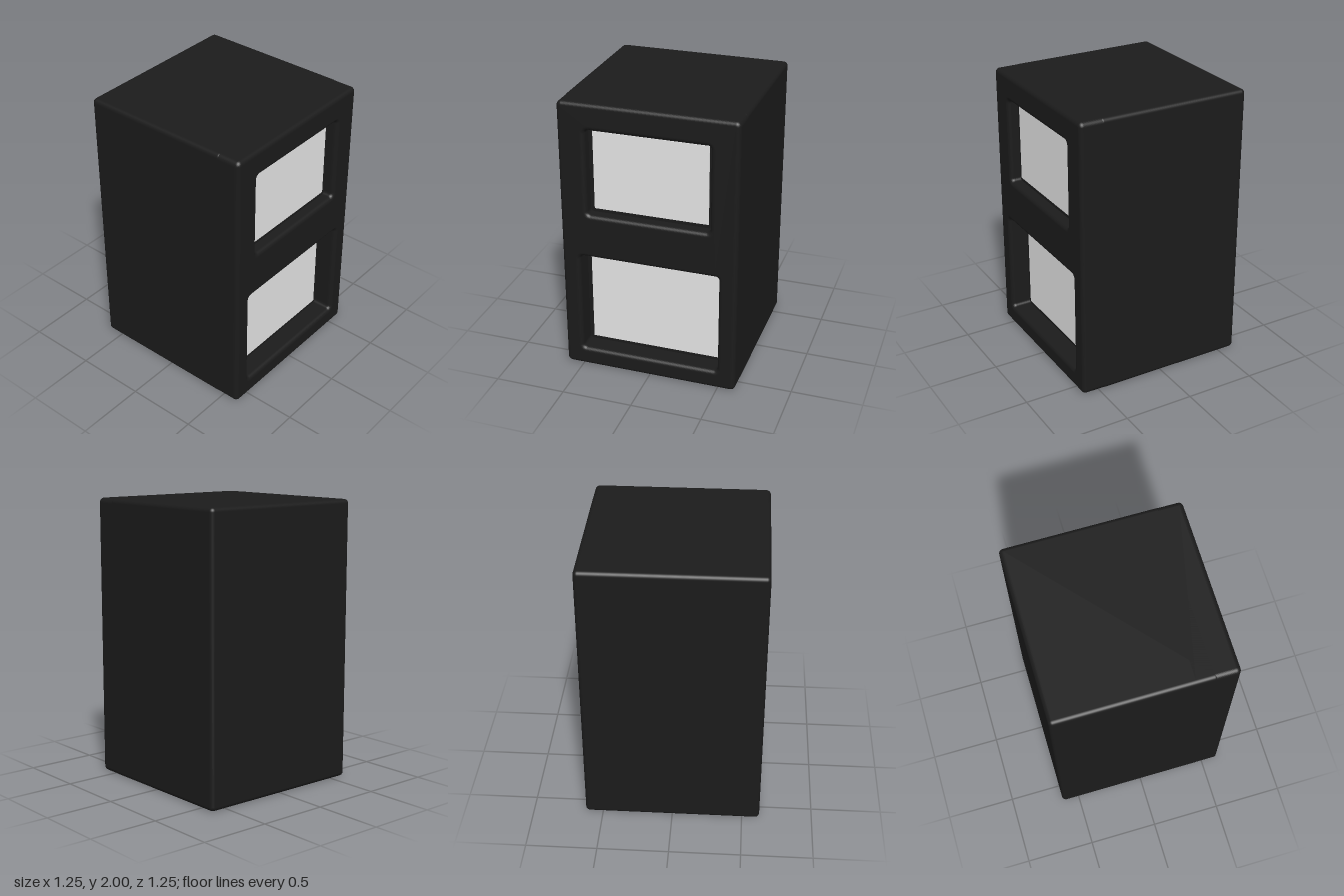
import * as THREE from 'three';
import { RoundedBoxGeometry } from 'three/addons/geometries/RoundedBoxGeometry.js';

const HALF = 0.625;   // half width and half depth of the cabinet
const BEVEL = 0.03;   // rounding of cabinet edges and opening rims

// Adds a rounded rectangle (x0..x1, y0..y1) to a Shape or Path
function roundedRect(path, x0, y0, x1, y1, r) {
  path.moveTo(x0 + r, y0);
  path.lineTo(x1 - r, y0);
  path.absarc(x1 - r, y0 + r, r, -Math.PI / 2, 0);
  path.lineTo(x1, y1 - r);
  path.absarc(x1 - r, y1 - r, r, 0, Math.PI / 2);
  path.lineTo(x0 + r, y1);
  path.absarc(x0 + r, y1 - r, r, Math.PI / 2, Math.PI);
  path.lineTo(x0, y0 + r);
  path.absarc(x0 + r, y0 + r, r, Math.PI, Math.PI * 1.5);
  return path;
}

export function createModel() {
  const model = new THREE.Group();
  model.name = 'cabinet';

  const black = new THREE.MeshStandardMaterial({ color: 0x1b1b1b });
  black.name = 'matte black';
  const grey = new THREE.MeshStandardMaterial({ color: 0xe5e5e5 });
  grey.name = 'light grey';

  function add(name, geometry, material, x, y, z) {
    const mesh = new THREE.Mesh(geometry, material);
    mesh.name = name;
    mesh.position.set(x, y, z);
    model.add(mesh);
  }

  // w, y0, y1: rim of the opening; pw, p0, p1: grey panel; floor: z of the recess bottom
  const openings = [
    { name: 'upper', w: 0.462, y0: 1.168, y1: 1.845, pw: 0.403, p0: 1.225, p1: 1.787, floor: 0.545 },
    { name: 'lower', w: 0.527, y0: 0.105, y1: 0.908, pw: 0.467, p0: 0.162, p1: 0.85, floor: 0.48 },
  ];
  const [upper, lower] = openings;

  // Main box behind the front frame; its front is the floor of the lower recess
  const coreDepth = lower.floor + HALF;
  add('cabinetBody', new RoundedBoxGeometry(HALF * 2, 2, coreDepth, 6, BEVEL), black,
    0, 1, lower.floor - coreDepth / 2);

  // Front frame with two soft-edged openings, overlapping the main box
  const e = HALF - BEVEL;
  const face = roundedRect(new THREE.Shape(), -e, BEVEL, e, 2 - BEVEL, 0.005);
  for (const o of openings) {
    face.holes.push(roundedRect(new THREE.Path(), -o.w, o.y0, o.w, o.y1, 0.055));
  }
  const frameBack = 0.3;
  add('frontFrame', new THREE.ExtrudeGeometry(face, {
    depth: HALF - frameBack - 2 * BEVEL,
    bevelEnabled: true,
    bevelThickness: BEVEL,
    bevelSize: BEVEL,
    bevelSegments: 8,
    curveSegments: 6,
  }), black, 0, 0, frameBack + BEVEL);

  // Recess floor of the upper opening, raised above the main box
  const floorBack = 0.43;
  add('upperRecessFloor',
    new THREE.BoxGeometry(upper.w * 2, upper.y1 - upper.y0, upper.floor - floorBack),
    black, 0, (upper.y0 + upper.y1) / 2, (upper.floor + floorBack) / 2);

  // Thin grey panels in the recesses
  for (const o of openings) {
    add(o.name + 'Panel', new THREE.BoxGeometry(o.pw * 2, o.p1 - o.p0, 0.008), grey,
      0, (o.p0 + o.p1) / 2, o.floor + 0.002);
  }

  return model;
}
